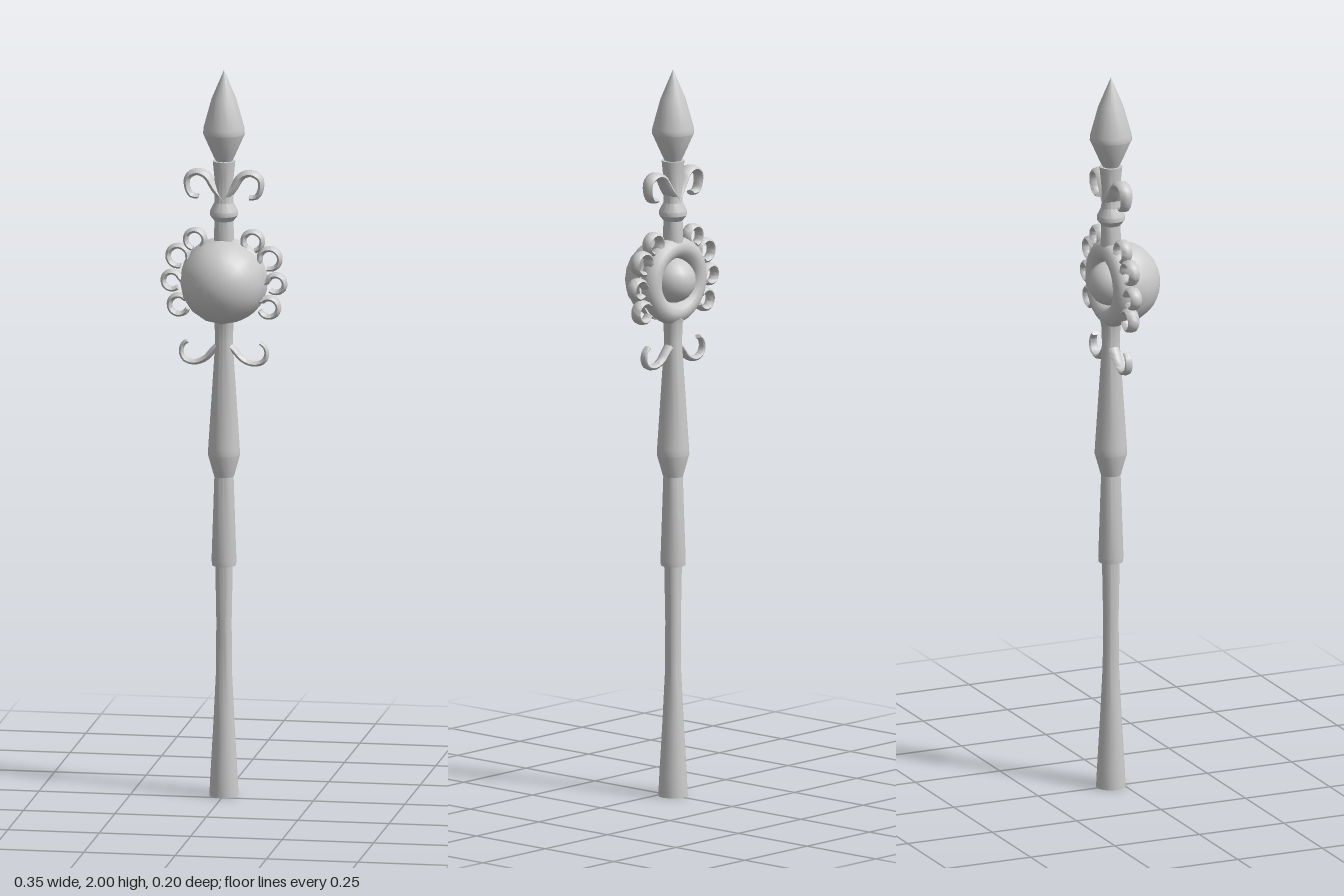
import * as THREE from 'three';
import { toCreasedNormals } from 'three/addons/utils/BufferGeometryUtils.js';

const AXIS_Z = -0.035;
const ORB_Y = 1.42;

export function createModel() {
  const staff = new THREE.Group();
  staff.name = 'staff';
  const material = new THREE.MeshStandardMaterial({ color: 0xcccccc });
  const openMaterial = new THREE.MeshStandardMaterial({ color: 0xcccccc, side: THREE.DoubleSide });

  function add(name, geometry, x, y, z, mat = material) {
    const mesh = new THREE.Mesh(geometry, mat);
    mesh.name = name;
    mesh.position.set(x, y, z);
    staff.add(mesh);
    return mesh;
  }

  // Turned part on the staff axis, profile given as [radius, height]
  function turned(name, profile) {
    const points = profile.map(([r, y]) => new THREE.Vector2(r, y));
    add(name, toCreasedNormals(new THREE.LatheGeometry(points, 16), 0.5), 0, 0, AXIS_Z);
  }

  // Round-sided scroll along a flat curve, tapering to its tip, with capped ends
  function scroll(name, path, side, radius, depth, tip = 0.6, z = AXIS_Z) {
    const curve = new THREE.CatmullRomCurve3(path.map(([x, y]) => new THREE.Vector3(x * side, y, 0)));
    const steps = 22, sides = 8;
    const positions = [], index = [];
    for (let i = 0; i <= steps; i++) {
      const t = i / steps;
      const p = curve.getPointAt(t), d = curve.getTangentAt(t);
      const k = 1 + (tip - 1) * t;
      for (let j = 0; j < sides; j++) {
        const a = (j / sides) * Math.PI * 2;
        const w = Math.cos(a) * radius * k;
        positions.push(p.x - d.y * w, p.y + d.x * w, Math.sin(a) * depth * k);
        if (i < steps) {
          const n = i * sides + j, m = i * sides + (j + 1) % sides;
          index.push(n, m, n + sides, m, m + sides, n + sides);
        }
      }
    }
    for (let j = 1; j < sides - 1; j++) {
      const e = steps * sides;
      index.push(0, j + 1, j, e, e + j, e + j + 1);
    }
    const geometry = new THREE.BufferGeometry();
    geometry.setAttribute('position', new THREE.Float32BufferAttribute(positions, 3));
    geometry.setIndex(index);
    geometry.computeVertexNormals();
    add(name, toCreasedNormals(geometry, 0.9), 0, 0, z, openMaterial);
  }

  // Shaft sections
  turned('lowerShaft', [[0, 0], [0.04, 0], [0.037, 0.06], [0.029, 0.2], [0.022, 0.34], [0.021, 0.48], [0.024, 0.64]]);
  turned('grip', [[0, 0.635], [0.033, 0.635], [0.034, 0.65], [0.026, 0.89], [0, 0.89]]);
  turned('upperShaft', [[0, 0.88], [0.027, 0.88], [0.044, 0.94], [0.043, 0.96], [0.024, 1.25], [0.026, 1.3], [0.03, 1.32], [0, 1.32]]);

  // Neck with collar, and spear point
  turned('neck', [[0, 1.52], [0.028, 1.52], [0.026, 1.585], [0.038, 1.6], [0.038, 1.612], [0.026, 1.635], [0.025, 1.69], [0.031, 1.75], [0, 1.75]]);
  turned('spearPoint', [[0, 1.745], [0.02, 1.745], [0.03, 1.765], [0.057, 1.825], [0.056, 1.84], [0.034, 1.92], [0, 2]]);

  // Orb setting: front dome, ring and ball in the open back
  const dome = new THREE.SphereGeometry(0.115, 16, 8, 0, Math.PI * 2, 0, Math.PI / 2);
  dome.rotateX(Math.PI / 2);
  add('frontDome', dome, 0, ORB_Y, -0.015, openMaterial);
  add('orbRing', new THREE.TorusGeometry(0.09, 0.029, 12, 32), 0, ORB_Y, -0.038);
  add('backBall', new THREE.SphereGeometry(0.061, 16, 12), 0, ORB_Y, -0.036);

  // Loops round the orb: [centre x, centre y, radius]
  const loops = [[0.079, 1.53, 0.026], [0.125, 1.483, 0.028], [0.142, 1.415, 0.024], [0.123, 1.349, 0.026]];

  for (const side of [1, -1]) {
    loops.forEach(([cx, cy, r], i) => {
      const out = Math.atan2(cy - ORB_Y, cx);
      const path = [];
      for (let k = 0; k <= 12; k++) {
        const a = out + 2.9 - k * 0.43;
        path.push([cx + Math.cos(a) * r, cy + Math.sin(a) * r]);
      }
      path.unshift([Math.cos(out) * 0.09, ORB_Y + Math.sin(out) * 0.09]);
      scroll('orbLoop' + (i + 1), path, side, 0.009, 0.019, 0.8);
    });

    // Scrolls on the neck
    scroll('neckScroll', [[0, 1.645], [0.025, 1.675], [0.05, 1.71], [0.076, 1.717], [0.099, 1.702],
      [0.1, 1.672], [0.088, 1.652], [0.07, 1.65]], side, 0.013, 0.026, 0.55);
    // Scrolls below the orb
    scroll('lowerScroll', [[0, 1.255], [0.025, 1.232], [0.052, 1.203], [0.082, 1.192], [0.108, 1.2],
      [0.117, 1.22], [0.112, 1.24], [0.1, 1.25]], side, 0.01, 0.017, 0.6);
  }

  return staff;
}
